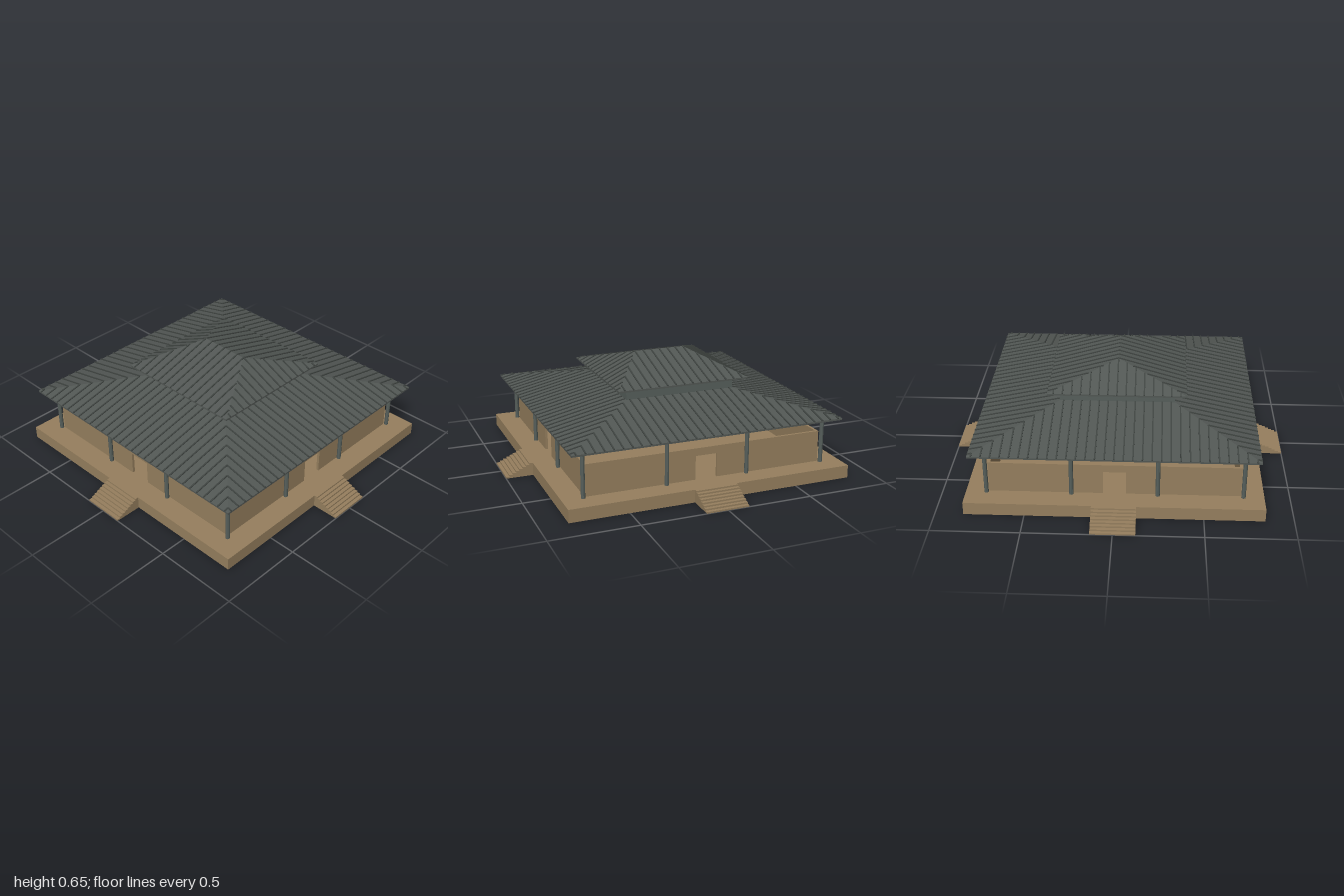
import * as THREE from 'three';

const mat = (name, color, side = THREE.FrontSide) => {
  const m = new THREE.MeshStandardMaterial({ color, side });
  m.name = name;
  return m;
};

export function createModel() {
  const wood = mat('tan wood', 0x967f5e);
  const post = mat('grey green timber', 0x565f5b);
  const roofing = mat('roof grey', 0x525754);
  const ribMat = mat('roof rib dark grey', 0x3f4441);

  const model = new THREE.Group();
  model.name = 'pavilion';

  const add = (parent, name, geo, material, x = 0, y = 0, z = 0) => {
    const mesh = new THREE.Mesh(geo, material);
    mesh.name = name;
    mesh.position.set(x, y, z);
    parent.add(mesh);
    return mesh;
  };
  const box = (parent, name, material, w, h, d, x, y, z) =>
    add(parent, name, new THREE.BoxGeometry(w, h, d), material, x, y, z);

  // Platform
  const floorY = 0.075;
  box(model, 'platform', wood, 1.68, floorY, 1.68, 0, floorY / 2, 0);

  // Wall with a doorway cut from its lower edge
  const wallShape = new THREE.Shape([
    [-0.71, 0], [-0.065, 0], [-0.065, 0.14], [0.065, 0.14], [0.065, 0],
    [0.71, 0], [0.71, 0.185], [-0.71, 0.185],
  ].map(([x, y]) => new THREE.Vector2(x, y)));
  const wallGeo = new THREE.ExtrudeGeometry(wallShape, { depth: 0.015, bevelEnabled: false });
  const postGeo = new THREE.CylinderGeometry(0.0125, 0.0125, 0.285, 8).toNonIndexed();
  postGeo.computeVertexNormals();

  // Four equal sides: wall, stair, posts and eave beam
  for (let s = 0; s < 4; s++) {
    const side = new THREE.Group();
    side.name = 'side' + (s + 1);
    side.rotation.y = s * Math.PI / 2;
    model.add(side);

    add(side, 'wall', wallGeo, wood, 0, floorY, 0.695);

    const steps = 8;
    for (let i = 0; i < steps; i++) {
      const h = floorY * (steps - i) / steps;
      box(side, 'step', wood, 0.25, h, 0.02, 0, h / 2, 0.85 + i * 0.02);
    }

    // The third post of each side is the corner post of the next
    for (const x of [-0.7225, -0.2425, 0.2425]) {
      add(side, 'post', postGeo, post, x, floorY + 0.1425, 0.7225);
    }
    box(side, 'eaveBeam', post, 1.44, 0.017, 0.02, 0, 0.3535, 0.7225);
  }

  // Hipped roof skin: underside, fascia and slopes as loops between square rings
  const corners = [[1, 1], [1, -1], [-1, -1], [-1, 1]];
  const ring = (rx, rz, y) => corners.map(([x, z]) => [x * rx, y, z * rz]);
  const hipSkin = (eave, topX, topZ, y0, y1) => {
    const t = 0.01;
    const rings = [ring(topX, topZ, y1 - t), ring(eave, eave, y0 - t),
      ring(eave, eave, y0), ring(topX, topZ, y1)];
    const pos = [];
    for (let r = 0; r < 3; r++) {
      for (let i = 0; i < 4; i++) {
        const j = (i + 1) % 4;
        const a = rings[r][i], b = rings[r][j], c = rings[r + 1][j], d = rings[r + 1][i];
        pos.push(...a, ...b, ...c, ...a, ...c, ...d);
      }
    }
    const geo = new THREE.BufferGeometry();
    geo.setAttribute('position', new THREE.Float32BufferAttribute(pos, 3));
    geo.computeVertexNormals();
    return geo;
  };

  const hipRoof = (name, eave, topX, topZ, y0, y1) => {
    const roof = new THREE.Group();
    roof.name = name;
    model.add(roof);
    add(roof, 'roofSkin', hipSkin(eave, topX, topZ, y0, y1), roofing);

    // Standing ribs run up each slope and stop at the hip or the top edge
    const pitch = 0.052;
    const n = Math.floor((eave - 0.01) / pitch);
    for (let s = 0; s < 4; s++) {
      const slope = new THREE.Group();
      slope.name = 'slopeRibs' + (s + 1);
      slope.rotation.y = s * Math.PI / 2;
      roof.add(slope);
      const halfTop = s % 2 ? topZ : topX;
      const inner = s % 2 ? topX : topZ;
      const angle = Math.atan2(y1 - y0, eave - inner);
      for (let i = -n; i <= n; i++) {
        const x = i * pitch;
        const k = Math.min(1, (eave - Math.abs(x)) / (eave - halfTop));
        const run = (eave - inner) * k, rise = (y1 - y0) * k;
        const rib = box(slope, 'rib', ribMat, 0.008, 0.01, Math.hypot(run, rise),
          x, y0 + rise / 2, eave - run / 2);
        rib.rotation.x = angle;
      }
    }
  };

  hipRoof('lowerRoof', 0.805, 0.333, 0.333, 0.355, 0.46);
  box(model, 'roofNeck', post, 0.666, 0.105, 0.666, 0, 0.4975, 0);
  hipRoof('upperRoof', 0.4, 0.155, 0, 0.535, 0.65);

  return model;
}
